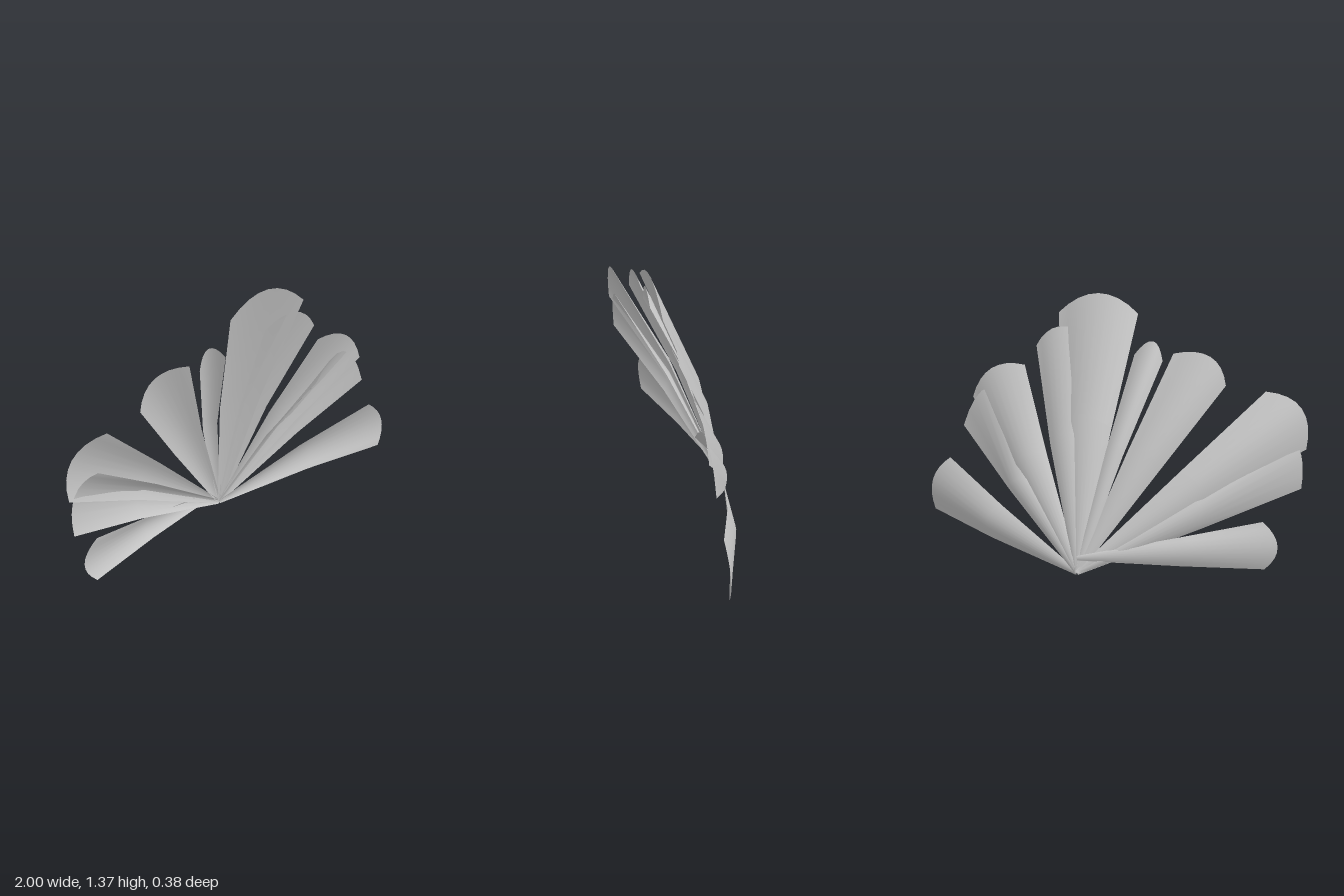
import * as THREE from 'three';

const ROOT = new THREE.Vector3(0.06, 0.012, -0.19);
const BEND = 0.56; // how far along each petal it bends
const COLUMNS = 8;

// start, apex and end of each rim, clockwise, and the depth of the rim
const petals = [
  { name: 'lowerRightPetal', start: [-0.83, 0.045], apex: [-0.89, 0.165], end: [-0.815, 0.285], z: 0.05, lift: 0.075 },
  { name: 'curledRightPetal', start: [-0.98, 0.435], apex: [-0.96, 0.64], end: [-0.84, 0.715], z: 0.168, curl: 1.7 },
  { name: 'broadRightPetal', start: [-0.995, 0.63], apex: [-0.965, 0.83], end: [-0.79, 0.905], z: 0.183 },
  { name: 'upperRightPetal', start: [-0.6, 0.93], apex: [-0.52, 1.07], end: [-0.335, 1.08], z: 0.145 },
  { name: 'narrowPetal', start: [-0.28, 1.04], apex: [-0.23, 1.138], end: [-0.135, 1.07], z: 0.145 },
  { name: 'topPetal', start: [-0.14, 1.27], apex: [0.07, 1.37], end: [0.285, 1.27], z: 0.19 },
  { name: 'upperLeftPetal', start: [0.09, 1.15], apex: [0.27, 1.2], end: [0.395, 1.1], z: 0.15 },
  { name: 'broadLeftPetal', start: [0.45, 1.0], apex: [0.64, 0.975], end: [0.75, 0.82], z: 0.12 },
  { name: 'middleLeftPetal', start: [0.47, 0.74], apex: [0.65, 0.875], end: [0.8, 0.665], z: 0.1 },
  { name: 'lowerLeftPetal', start: [0.88, 0.485], apex: [0.99, 0.355], end: [0.98, 0.19], z: 0.088 },
];

// Cupped surface from the root through the bend to the rounded rim
function petalGeometry({ start, apex, end, z, lift = 0, curl = 1 }) {
  const a = new THREE.Vector3(...start, z), b = new THREE.Vector3(...end, z);
  const middle = a.clone().lerp(b, 0.5);
  const bulge = new THREE.Vector3(...apex, z).sub(middle);
  const root = ROOT.clone().setY(ROOT.y + lift);
  const outward = middle.clone().sub(root).setZ(0).normalize();
  const across = b.clone().sub(a);
  const width = across.length();
  const rows = [[], [], []];
  for (let i = 0; i <= COLUMNS; i++) {
    const t = i / COLUMNS, arch = 1 - (2 * t - 1) ** 2;
    const chord = a.clone().lerp(b, t);
    const base = root.clone().addScaledVector(across, (t - 0.5) * 0.024 / width);
    base.y = Math.max(0, base.y);
    // the bend is slightly wider than a straight wedge, with edges curling forward
    const bend = root.clone().lerp(chord, BEND)
      .addScaledVector(across, (t - 0.5) * 0.045)
      .addScaledVector(outward, 0.05 * arch);
    bend.z = ROOT.z + 0.2 * Math.hypot(bend.x - ROOT.x, bend.y) + 0.09 * width * curl * (1 - arch);
    rows[0].push(base);
    rows[1].push(bend);
    rows[2].push(chord.addScaledVector(bulge, arch));
  }
  const index = [], stride = COLUMNS + 1;
  for (let j = 0; j < rows.length - 1; j++) {
    for (let i = 0; i < COLUMNS; i++) {
      const p = j * stride + i, q = p + stride;
      index.push(p, p + 1, q, p + 1, q + 1, q);
    }
  }
  const geometry = new THREE.BufferGeometry().setFromPoints(rows.flat());
  geometry.setIndex(index);
  geometry.computeVertexNormals();
  return geometry;
}

export function createModel() {
  const group = new THREE.Group();
  group.name = 'petalFan';
  const material = new THREE.MeshStandardMaterial({ color: 0xcccccc, side: THREE.DoubleSide });
  for (const petal of petals) {
    const mesh = new THREE.Mesh(petalGeometry(petal), material);
    mesh.name = petal.name;
    group.add(mesh);
  }
  return group;
}
